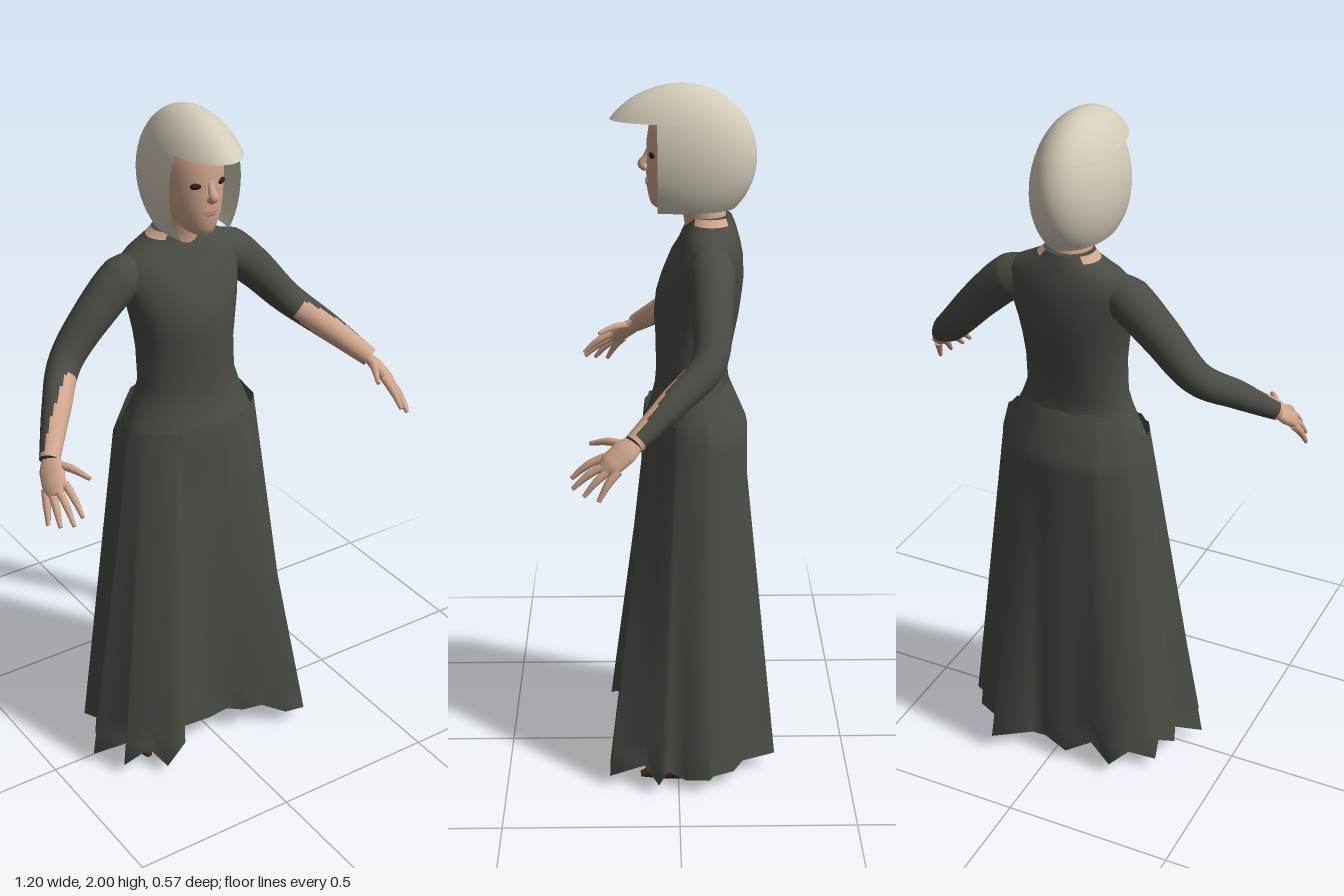
import * as THREE from 'three';

const mat = (name, color, side = THREE.FrontSide) =>
  Object.assign(new THREE.MeshStandardMaterial({ color, side }), { name });
const V = (x, y, z) => new THREE.Vector3(x, y, z);

// Surface through rings of points; each ring runs counter-clockwise about the direction of advance.
// pick(centroid, i) returns the material index of a quad.
function loft(rings, { open = false, capStart = false, capEnd = false, pick = () => 0 } = {}) {
  const n = rings[0].length, pos = [], lists = [[], []];
  rings.forEach(r => r.forEach(p => pos.push(p.x, p.y, p.z)));
  for (let i = 0; i < rings.length - 1; i++) {
    for (let j = 0; j < (open ? n - 1 : n); j++) {
      const k = (j + 1) % n, a = i * n + j, b = i * n + k, c = a + n, d = b + n;
      const mid = V(0, 0, 0).add(rings[i][j]).add(rings[i][k]).add(rings[i + 1][j]).add(rings[i + 1][k]).divideScalar(4);
      lists[pick(mid, i + 0.5)].push(a, b, c, b, d, c);
    }
  }
  const cap = (ring, flip) => {
    const base = pos.length / 3, mid = V(0, 0, 0);
    ring.forEach(p => { pos.push(p.x, p.y, p.z); mid.add(p); });
    mid.divideScalar(n);
    pos.push(mid.x, mid.y, mid.z);
    for (let j = 0; j < n; j++) {
      const a = base + j, b = base + (j + 1) % n;
      lists[0].push(...(flip ? [b, a, base + n] : [a, b, base + n]));
    }
  };
  if (capStart) cap(rings[0], true);
  if (capEnd) cap(rings[rings.length - 1], false);
  const g = new THREE.BufferGeometry();
  g.setAttribute('position', new THREE.Float32BufferAttribute(pos, 3));
  g.setIndex([...lists[0], ...lists[1]]);
  if (lists[1].length) {
    g.addGroup(0, lists[0].length, 0);
    g.addGroup(lists[0].length, lists[1].length, 1);
  }
  g.computeVertexNormals();
  return g;
}

// Horizontal oval ring: half width, front z, back z
const oval = (y, rx, zf, zb, n = 32) => Array.from({ length: n }, (_, j) => {
  const a = j / n * Math.PI * 2;
  return V(rx * Math.cos(a), y, (zf + zb) / 2 - (zf - zb) / 2 * Math.sin(a));
});

// Tapered limb through [x, y, z, radius]; wide stretches the section along ref
function limb(pts, { ref = V(0, 1, 0), wide = 1, n = 12, seg = 12, pick } = {}) {
  const curve = new THREE.CatmullRomCurve3(pts.map(p => V(p[0], p[1], p[2])));
  const rings = [];
  for (let i = 0; i <= seg; i++) {
    const t = i / seg, f = Math.min(t * (pts.length - 1), pts.length - 1.0001), k = Math.floor(f);
    const r = THREE.MathUtils.lerp(pts[k][3], pts[k + 1][3], f - k);
    const c = curve.getPoint(t), tan = curve.getTangent(t);
    const s = tan.clone().cross(ref).normalize(), u = tan.clone().cross(s);
    rings.push(Array.from({ length: n }, (_, j) => {
      const a = j / n * Math.PI * 2;
      return c.clone().addScaledVector(s, r * Math.cos(a)).addScaledVector(u, r * wide * Math.sin(a));
    }));
  }
  const rule = pick && ((m, i) => pick(i / seg, m.clone().sub(curve.getPoint(i / seg)).normalize()));
  return loft(rings, { capStart: true, capEnd: true, ...(rule ? { pick: rule } : {}) });
}

export function createModel() {
  const model = new THREE.Group();
  const cloth = mat('dark cloth', 0x4a4b44), skirtCloth = mat('skirt cloth', 0x4b4c45, THREE.DoubleSide);
  const skin = mat('skin', 0xcfa58d), hairMat = mat('pale hair', 0xd3ccba, THREE.DoubleSide);
  const leather = mat('brown leather', 0x432c1d), dark = mat('eye dark', 0x2c1d19), lip = mat('lip', 0xb5846f);
  const add = (name, geo, m, parent = model) => {
    const mesh = new THREE.Mesh(geo, m);
    mesh.name = name;
    parent.add(mesh);
    return mesh;
  };
  const blob = (name, x, y, z, sx, sy, sz, m) => {
    const b = add(name, new THREE.SphereGeometry(1, 14, 10), m);
    b.position.set(x, y, z);
    b.scale.set(sx, sy, sz);
    return b;
  };

  // Bodice, with bare skin at the sides of the collar
  const bodice = [
    [1.05, .212, .092, -.185], [1.1, .192, .076, -.165], [1.15, .168, .064, -.148], [1.2, .15, .06, -.142],
    [1.3, .148, .062, -.16], [1.36, .154, .066, -.172], [1.42, .165, .06, -.18], [1.47, .177, .045, -.185],
    [1.53, .19, .02, -.182], [1.565, .183, -.002, -.175], [1.59, .155, -.012, -.168], [1.608, .118, -.02, -.163],
    [1.622, .09, -.026, -.158], [1.64, .072, -.03, -.15]
  ].map(r => oval(...r, 40));
  add('bodice', loft(bodice, {
    capStart: true, capEnd: true, pick: m => (m.y > 1.62 && Math.abs(m.x) > .055 ? 1 : 0)
  }), [cloth, skin]);

  // Skirt: oval waist blending into a ragged, pleated hem of [x, z] corners
  const hem = [
    [.31, -.02], [.33, -.09], [.29, -.1], [.28, -.16], [.2, -.19], [.176, -.285], [.08, -.2], [.03, -.21],
    [-.05, -.235], [-.11, -.18], [-.195, -.235], [-.23, -.17], [-.31, -.15], [-.29, -.08], [-.33, -.05], [-.31, 0],
    [-.385, .035], [-.28, .06], [-.335, .13], [-.24, .12], [-.227, .205], [-.155, .19], [-.11, .11], [-.03, .13],
    [.05, .11], [.08, .155], [.15, .155], [.21, .2], [.28, .2], [.245, .1], [.335, .058], [.28, .03]
  ];
  const skirtRings = [];
  for (let i = 0; i <= 14; i++) {
    const s = 1 - i / 14, w = Math.pow(s, 1.2);
    skirtRings.push(hem.map(([x, z], j) => {
      const a = Math.atan2(-(z + .04) / .23, x / .33);
      const zr = Math.sin(a) > 0 ? .155 : .145;
      const hemY = .035 + (z > .09 && Math.abs(x) < .16 ? .035 : 0) + .012 * (j % 2);
      const p = V(.225 * Math.cos(a), 1.04, -.045 - zr * Math.sin(a));
      return p.lerp(V(x, hemY, z), w);
    }));
  }
  // Waistband, higher at the back
  skirtRings.push(skirtRings[14].map((p, j) => {
    const back = THREE.MathUtils.smoothstep(-p.z, .05, .16);
    return V(p.x * (.96 - .14 * back), 1.085 + .075 * back + .008 * (j % 2), p.z * (.94 - .2 * back));
  }));
  add('skirt', loft(skirtRings), skirtCloth);

  // Head and neck
  add('neck', limb([[0, 1.58, -.085, .062], [0, 1.64, -.075, .058], [0, 1.72, -.05, .054]], { n: 20 }), skin);
  const head = [
    [1.662, .024, .06, .01], [1.672, .04, .072, -.03], [1.69, .054, .078, -.07], [1.72, .069, .084, -.1],
    [1.76, .081, .085, -.13], [1.8, .087, .083, -.14], [1.85, .089, .083, -.14], [1.9, .083, .076, -.13],
    [1.94, .06, .05, -.1]
  ].map(r => oval(...r));
  add('head', loft(head, { capStart: true, capEnd: true }), skin);
  add('nose', limb([[0, 1.83, .075, .006], [0, 1.8, .086, .009], [0, 1.781, .097, .012], [0, 1.769, .084, .011]],
    { ref: V(1, 0, 0), wide: 1.2 }), skin);
  blob('upperLip', 0, 1.738, .082, .023, .004, .006, lip);
  blob('lowerLip', 0, 1.73, .082, .018, .005, .006, lip);
  for (const s of [1, -1]) {
    blob('eye', s * .04, 1.812, .07, .016, .009, .006, dark).rotation.y = s * .35;
    blob('nostril', s * .008, 1.768, .089, .003, .003, .004, dark);
  }

  // Hair: domed cap with a peak in front, and a curtain round the sides and back
  const hairRing = (y, curtain) => {
    const k = Math.sqrt(Math.max(0, 1 - ((y - 1.8) / .2) ** 2)), n = 40;
    const a0 = curtain ? -Math.asin(Math.min(1, .07 / (.234 * k))) : 0;
    const span = curtain ? Math.PI - 2 * a0 : Math.PI * 2;
    return Array.from({ length: n }, (_, j) => {
      const a = a0 + span * j / (curtain ? n - 1 : n);
      return V(.119 * k * Math.cos(a), y, -.015 - (Math.sin(a) > 0 ? .203 : .234) * k * Math.sin(a));
    });
  };
  const domeStart = Math.asin(.105 / .2);
  add('hairDome', loft(Array.from({ length: 13 }, (_, i) =>
    hairRing(1.8 + .2 * Math.sin(domeStart + (Math.PI / 2 - domeStart) * i / 12), false)), { capStart: true }), hairMat);
  add('hairCurtain', loft(Array.from({ length: 15 }, (_, i) => hairRing(1.66 + .245 * i / 14, true)), { open: true }), hairMat);

  // Arms, hands and feet, mirrored
  for (const s of [1, -1]) {
    const side = new THREE.Group();
    side.name = s > 0 ? 'leftLimbs' : 'rightLimbs';
    model.add(side);
    const m = pts => pts.map(([x, y, z, r]) => [x * s, y, z, r]);

    // Sleeve runs to the wrist on the outside and leaves the inner forearm bare
    const bare = V(-.55 * s, .2, .78).normalize();
    add('arm', limb(m([[.1, 1.55, -.085, .045], [.175, 1.52, -.09, .064], [.265, 1.44, -.09, .057],
      [.37, 1.325, -.075, .047], [.455, 1.245, .02, .04], [.535, 1.165, .12, .028]]), {
      n: 32, seg: 60,
      pick: (t, d) => (t > .975 || (t > .66 && d.dot(bare) > .8 - 3 * (t - .66)) ? 1 : 0)
    }), [cloth, skin], side);

    // Palm widened along the row of knuckles
    const row = V(.067 * s, -.04, -.075).normalize();
    add('palm', limb(m([[.523, 1.178, .103, .011], [.541, 1.148, .142, .019], [.555, 1.118, .18, .018], [.56, 1.105, .198, .011]]),
      { ref: row, wide: 2 }), skin, side);
    const fingers = [
      [[.532, 1.13, .195], [.53, 1.07, .283]], [[.55, 1.115, .19], [.555, 1.05, .28]],
      [[.564, 1.107, .178], [.58, 1.038, .25]], [[.572, 1.105, .16], [.596, 1.03, .212]],
      [[.53, 1.16, .135], [.478, 1.147, .235]]
    ];
    fingers.forEach(([a, b], i) => {
      const mid = a.map((v, k) => (v + b[k]) / 2 + (k === 1 ? .008 : 0));
      add(i < 4 ? 'finger' : 'thumb',
        limb(m([[...a, .012], [...mid, .011], [...b, .006]]), { n: 8, seg: 6 }), skin, side);
    });

    // Boots
    add('bootLeg', limb(m([[.11, .6, -.05, .05], [.15, .35, -.06, .045], [.2, .15, -.075, .035], [.228, .04, -.08, .034]]),
      { ref: V(1, 0, 0) }), leather, side);
    add('bootFoot', limb(m([[.228, .032, -.122, .02], [.23, .038, -.09, .036], [.231, .036, -.02, .034],
      [.232, .026, .05, .025], [.234, .014, .11, .008]]), { ref: V(1, 0, 0), wide: 1.3 }), leather, side);
  }
  return model;
}
